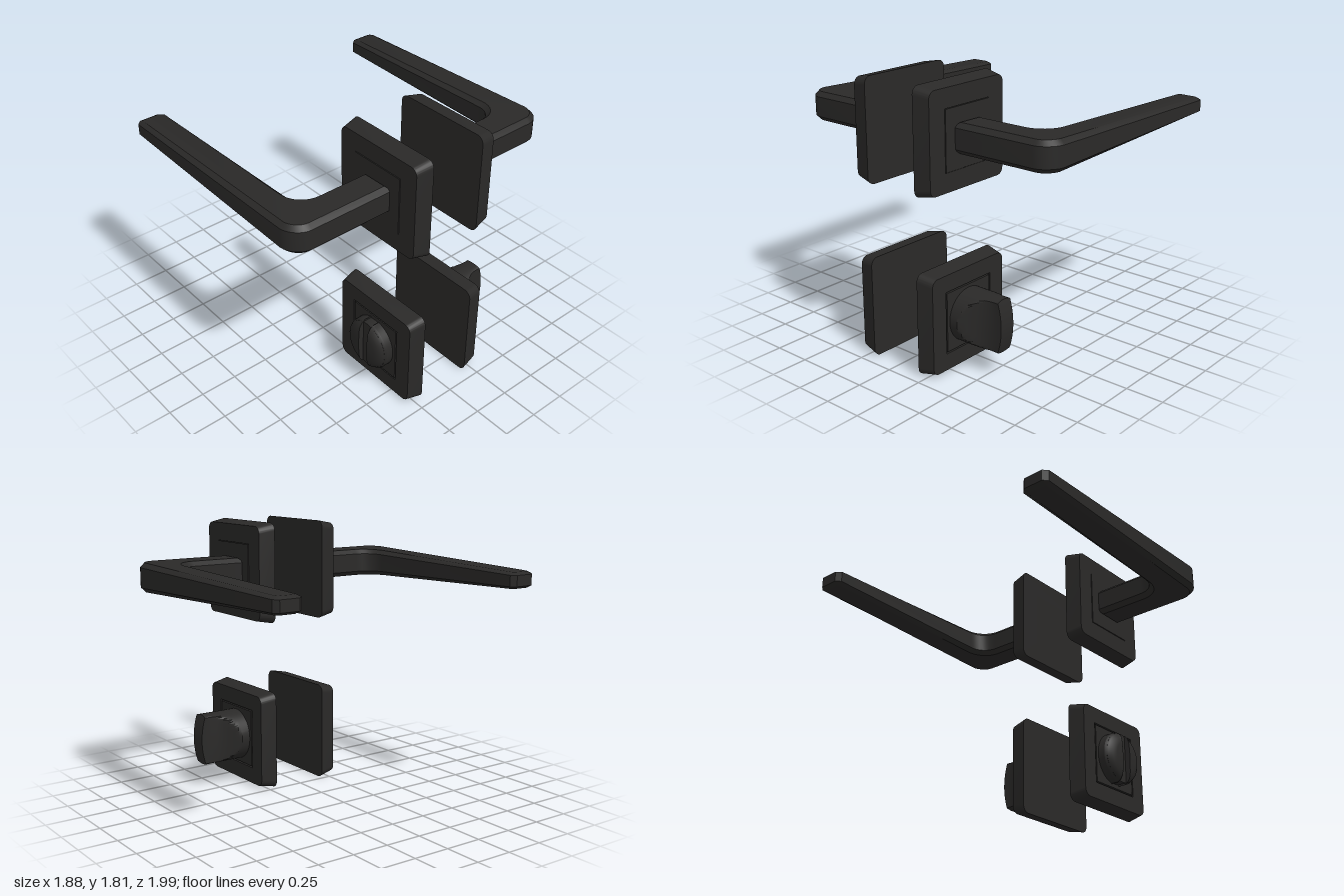
import * as THREE from 'three';
import { toCreasedNormals } from 'three/addons/utils/BufferGeometryUtils.js';

const CX = 0.595, TOP_Y = 1.475, LOW_Y = 0.335;

export function createModel() {
  const model = new THREE.Group();
  const material = new THREE.MeshStandardMaterial({ color: 0x2a2928 });

  function add(parent, name, geometry) {
    const mesh = new THREE.Mesh(toCreasedNormals(geometry, 0.5), material);
    mesh.name = name;
    parent.add(mesh);
    return mesh;
  }

  // Move every vertex by a rule
  function reshape(geometry, rule) {
    const p = geometry.attributes.position, v = new THREE.Vector3();
    for (let i = 0; i < p.count; i++) {
      rule(v.fromBufferAttribute(p, i));
      p.setXYZ(i, v.x, v.y, v.z);
    }
    return geometry;
  }

  // Solid of revolution along +z from [radius, z] pairs
  function turned(profile) {
    const pts = profile.map(([r, z]) => new THREE.Vector2(r, z));
    return new THREE.LatheGeometry(pts, 64).rotateX(Math.PI / 2);
  }

  function box(w, h, z0, z1) {
    return new THREE.BoxGeometry(w, h, z1 - z0).translate(0, 0, (z0 + z1) / 2);
  }

  // Square rosette with drafted sides and a framed centre square
  function addRosette(parent, inner, gap, raise) {
    const w = 0.34, h = 0.333, r = 0.05;
    const s = new THREE.Shape();
    s.moveTo(-w + r, -h);
    s.lineTo(w - r, -h);
    s.absarc(w - r, -h + r, r, -Math.PI / 2, 0);
    s.absarc(w - r, h - r, r, 0, Math.PI / 2);
    s.absarc(-w + r, h - r, r, Math.PI / 2, Math.PI);
    s.absarc(-w + r, -h + r, r, Math.PI, Math.PI * 1.5);
    const hole = new THREE.Path();
    hole.moveTo(-inner, -inner).lineTo(-inner, inner).lineTo(inner, inner).lineTo(inner, -inner).closePath();
    s.holes.push(hole);
    const frame = new THREE.ExtrudeGeometry(s, { depth: 0.11, bevelEnabled: false, curveSegments: 6 });
    reshape(frame, v => {
      if (v.z > 0.05 && Math.max(Math.abs(v.x), Math.abs(v.y)) > 0.25) {
        v.x *= 1 - 0.02 / w;
        v.y *= 1 - 0.02 / h;
      }
    });
    add(parent, 'rosetteFrame', frame.translate(0, 0, 0.192));
    add(parent, 'rosetteBack', box(inner * 2, inner * 2, 0.192, 0.285));
    add(parent, 'rosetteCentre', box((inner - gap) * 2, (inner - gap) * 2, 0.25, 0.302 + raise));
  }

  // Lever: bevelled plan outline, thinned towards the tip (local x from the spindle)
  function leverGeometry() {
    const s = new THREE.Shape();
    s.moveTo(-0.115, 0.29);
    s.lineTo(0.11, 0.29);
    s.lineTo(0.11, 0.87);
    s.bezierCurveTo(0.11, 0.93, 0.05, 0.99, -0.015, 0.995);
    s.lineTo(-1.505, 0.985);
    s.lineTo(-1.535, 0.955);
    s.lineTo(-1.535, 0.825);
    s.lineTo(-1.505, 0.793);
    s.lineTo(-0.25, 0.785);
    s.bezierCurveTo(-0.17, 0.785, -0.115, 0.73, -0.115, 0.66);
    s.closePath();
    const bevel = 0.03;
    const g = new THREE.ExtrudeGeometry(s, {
      depth: 0.19 - 2 * bevel, bevelThickness: bevel, bevelSize: bevel,
      bevelOffset: -bevel, bevelSegments: 1, curveSegments: 8,
    });
    g.translate(0, 0, -(0.19 - 2 * bevel) / 2).rotateX(Math.PI / 2);
    return reshape(g, v => {
      v.y *= 1 - 0.45 * THREE.MathUtils.clamp(-v.x / 1.53, 0, 1);
    });
  }

  // A half turn about x carries the front side to the back
  function side(name, y, back) {
    const group = new THREE.Group();
    group.name = name;
    group.position.set(CX, y, 0);
    if (back) group.rotation.x = Math.PI;
    model.add(group);
    return group;
  }

  for (const back of [false, true]) {
    const handle = side(back ? 'backHandle' : 'frontHandle', TOP_Y, back);
    addRosette(handle, 0.192, 0.003, 0.004);
    add(handle, 'lever', leverGeometry());
  }

  // Slotted release disc on the front
  const release = side('releaseSide', LOW_Y, false);
  addRosette(release, 0.204, 0.01, 0);
  for (const angle of [0, Math.PI]) {
    const half = turned([[0, 0.29], [0.174, 0.29], [0.174, 0.35], [0.16, 0.375], [0.135, 0.393], [0.1, 0.4], [0, 0.405]]);
    reshape(half, v => { v.x = Math.max(v.x, 0.038); });
    add(release, 'releaseDiscHalf', half.rotateZ(angle));
  }
  add(release, 'releaseSlotFloor', turned([[0, 0.29], [0.166, 0.29], [0.166, 0.365], [0, 0.365]]));

  // Thumb turn on the back: cylinder scooped on both sides to a blade
  const lock = side('thumbTurnSide', LOW_Y, true);
  addRosette(lock, 0.204, 0.01, 0);
  const scoop = [[0.29, 0.175], [0.36, 0.175], [0.38, 0.158], [0.4, 0.138], [0.43, 0.112], [0.46, 0.088],
    [0.5, 0.068], [0.54, 0.058], [0.58, 0.055], [0.61, 0.057]];
  const halfWidth = z => {
    const i = Math.max(1, scoop.findIndex(([a]) => a >= z - 1e-5));
    const [a, b] = [scoop[i - 1], scoop[i]];
    return THREE.MathUtils.mapLinear(z, a[0], b[0], a[1], b[1]);
  };
  const knob = turned([[0, 0.29], ...scoop.map(([z]) => [0.174, z]), [0.13, 0.61], [0.08, 0.61], [0.04, 0.61], [0, 0.61]]);
  reshape(knob, v => {
    const w = halfWidth(v.z);
    v.x = THREE.MathUtils.clamp(v.x, -w, w);
    // domed end
    v.z -= 0.03 * (v.y / 0.174) ** 2 * THREE.MathUtils.clamp((v.z - 0.45) / 0.16, 0, 1);
  });
  add(lock, 'thumbTurn', knob);

  return model;
}
